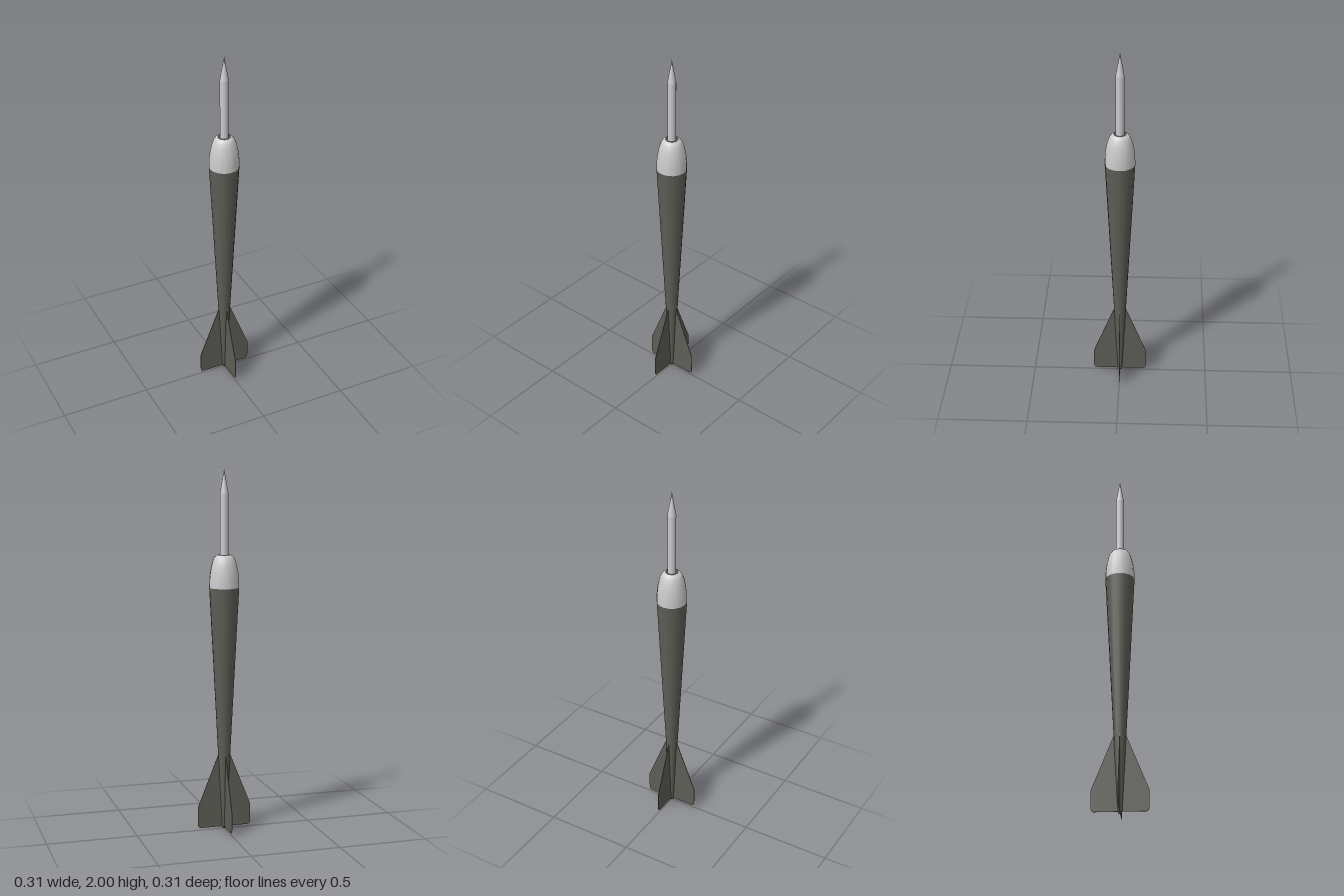
import * as THREE from 'three';

export function createModel() {
  const model = new THREE.Group();
  const grey = new THREE.MeshStandardMaterial({ color: 0xcccccc });
  const dark = new THREE.MeshStandardMaterial({ color: 0x5e5e57 });

  const add = (name, geometry, material) => {
    const mesh = new THREE.Mesh(geometry, material);
    mesh.name = name;
    model.add(mesh);
    return mesh;
  };
  const lathe = (points, sides = 16) =>
    new THREE.LatheGeometry(points.map(([r, y]) => new THREE.Vector2(r, y)), sides);

  // Long body, widening towards the nose, with a small rounded tail end
  add('body', lathe([[0.012, 0.012], [0.034, 0.43], [0.082, 1.36]]), dark);
  add('tailEnd', lathe([[0, 0], [0.008, 0.003], [0.012, 0.012]]), dark);

  // Rounded nose with a dark flat seat around the probe
  add('nose', lathe([
    [0.082, 1.36], [0.081, 1.405], [0.076, 1.45], [0.068, 1.49],
    [0.058, 1.518], [0.048, 1.533], [0.034, 1.539],
  ]), grey);
  add('noseSeat', lathe([[0.034, 1.539], [0.022, 1.536]]), dark);

  // Probe rod and its pointed tip
  const rod = new THREE.CylinderGeometry(0.023, 0.023, 0.35, 16, 1, true);
  add('probeRod', rod, grey).position.y = 1.695;
  const tip = new THREE.ConeGeometry(0.023, 0.13, 16, 1, true);
  add('probeTip', tip, grey).position.y = 1.935;

  // Four thin swept fins with softened lower corners
  const outline = new THREE.Shape();
  outline.moveTo(0, 0.012);
  outline.lineTo(0.137, 0.012);
  outline.quadraticCurveTo(0.153, 0.012, 0.153, 0.045);
  outline.lineTo(0.153, 0.13);
  outline.lineTo(0.033, 0.43);
  outline.lineTo(0, 0.43);
  const fin = new THREE.ExtrudeGeometry(outline, { depth: 0.003, bevelEnabled: false, curveSegments: 5 });
  fin.translate(0, 0, -0.0015);
  for (let i = 0; i < 4; i++) add('fin' + (i + 1), fin, dark).rotation.y = (i * Math.PI) / 2;

  return model;
}
